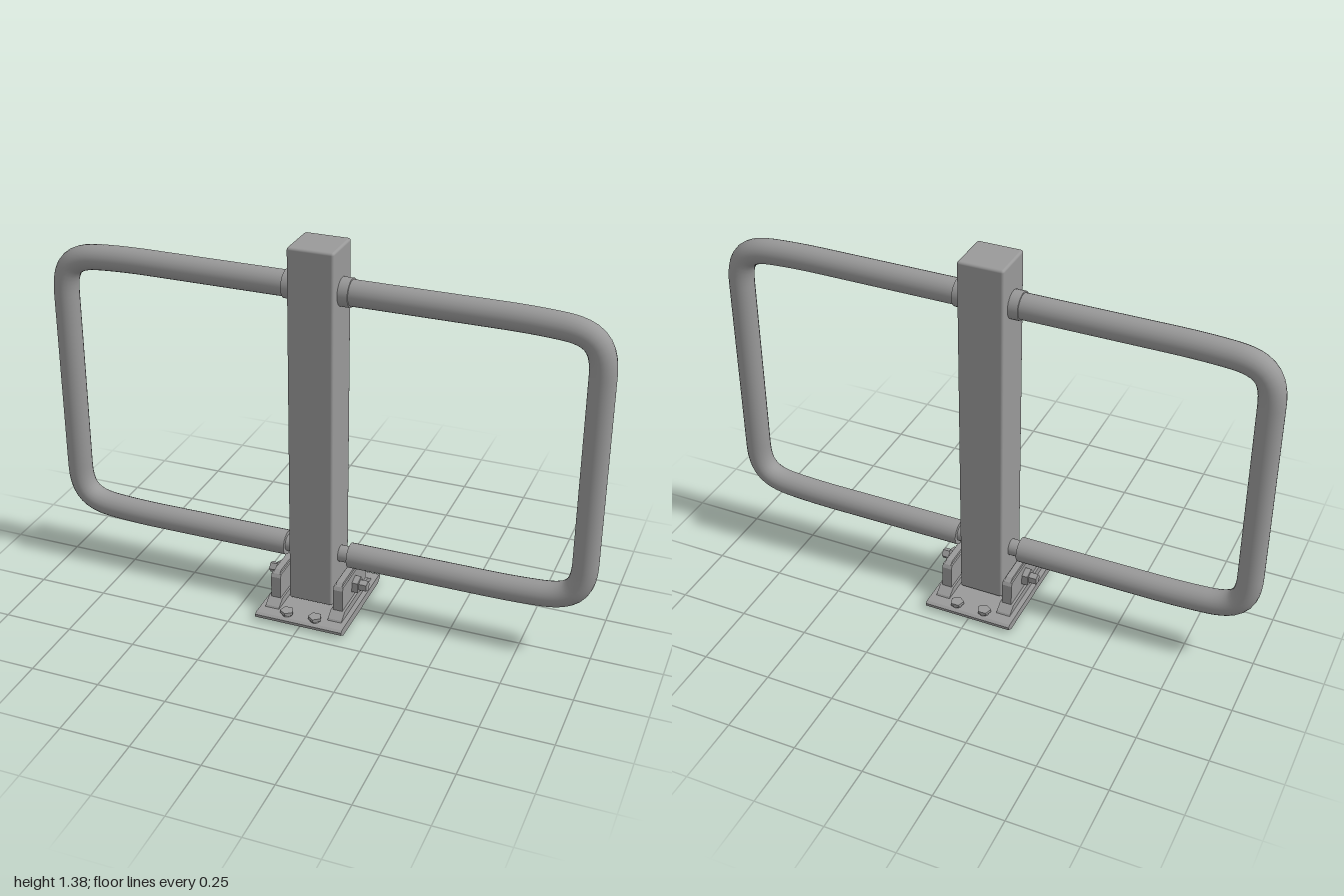
import * as THREE from 'three';
import { RoundedBoxGeometry } from 'three/addons/geometries/RoundedBoxGeometry.js';

const smooth = new THREE.MeshStandardMaterial({ color: 0x999999 });
const flat = new THREE.MeshStandardMaterial({ color: 0x999999, flatShading: true });

function add(parent, name, geometry, material, x = 0, y = 0, z = 0) {
  const mesh = new THREE.Mesh(geometry, material);
  mesh.name = name;
  mesh.position.set(x, y, z);
  parent.add(mesh);
  return mesh;
}

// Cylinder lying along x between x0 and x1
function rod(parent, name, r, x0, x1, y, sides, material = smooth) {
  const g = new THREE.CylinderGeometry(r, r, x1 - x0, sides).rotateZ(-Math.PI / 2).rotateX(Math.PI);
  return add(parent, name, g, material, (x0 + x1) / 2, y, 0);
}

// Outline drawn in (z, y), extruded along x and centred
function sideExtrude(points, width) {
  const shape = new THREE.Shape(points.map(([z, y]) => new THREE.Vector2(z, y)));
  return new THREE.ExtrudeGeometry(shape, { depth: width, bevelEnabled: false })
    .translate(0, 0, -width / 2).rotateY(-Math.PI / 2);
}

// Mirror a half outline (z > 0, bottom to top) to a closed one
const mirrored = (half) => [...half, ...half.map(([z, y]) => [-z, y]).reverse()];

// Everything on the +x side; the other side is this turned by half a circle
function createSide() {
  const side = new THREE.Group();

  // Bent tube: horizontal runs sag slightly before each rounded corner
  const path = new THREE.CurvePath();
  const v = (x, y) => new THREE.Vector3(x, y, 0);
  const yTop = 1.217, yLow = 0.217, xOut = 0.955;
  path.add(new THREE.LineCurve3(v(0.12, yTop), v(0.62, yTop)));
  path.add(new THREE.QuadraticBezierCurve3(v(0.62, yTop), v(0.73, yTop), v(0.82, 1.21)));
  path.add(new THREE.CubicBezierCurve3(v(0.82, 1.21), v(0.92, 1.202), v(xOut, 1.165), v(xOut, 1.06)));
  path.add(new THREE.LineCurve3(v(xOut, 1.06), v(xOut, 0.374)));
  path.add(new THREE.CubicBezierCurve3(v(xOut, 0.374), v(xOut, 0.269), v(0.92, 0.232), v(0.82, 0.224)));
  path.add(new THREE.QuadraticBezierCurve3(v(0.82, 0.224), v(0.73, yLow), v(0.62, yLow)));
  path.add(new THREE.LineCurve3(v(0.62, yLow), v(0.12, yLow)));
  add(side, 'bentTube', new THREE.TubeGeometry(path, 120, 0.045, 20), smooth);

  // Collar and stub joining the tube to the post
  rod(side, 'upperCollar', 0.05, 0.07, 0.117, yTop, 24);
  rod(side, 'upperTubeEnd', 0.045, 0.11, 0.125, yTop, 20);
  rod(side, 'lowerStub', 0.03, 0.07, 0.13, yLow, 20);
  rod(side, 'lowerTubeEnd', 0.045, 0.119, 0.122, yLow, 20);

  // Upright bracket plate, its narrower top edge and its flared foot
  const plate = mirrored([[0.12, 0.028], [0.12, 0.138], [0.113, 0.15]]);
  add(side, 'bracketPlate', sideExtrude(plate, 0.036), flat, 0.118);
  const rim = mirrored([[0.113, 0.15], [0.097, 0.16]]);
  add(side, 'bracketRim', sideExtrude(rim, 0.024), flat, 0.118);
  const foot = mirrored([[0.155, 0.028], [0.15, 0.036], [0.12, 0.056]]);
  add(side, 'bracketFoot', sideExtrude(foot, 0.052), flat, 0.119);

  // Pivot bolt
  rod(side, 'boltHead', 0.032, 0.134, 0.158, 0.1, 5, flat);
  rod(side, 'boltTip', 0.02, 0.158, 0.187, 0.1, 5, flat);
  return side;
}

export function createModel() {
  const model = new THREE.Group();
  model.name = 'foldingBarrier';

  // Square post
  add(model, 'post', new RoundedBoxGeometry(0.164, 1.335, 0.164, 2, 0.009), smooth, 0, 0.7075, 0);

  // Base plate with chamfered front and back edges
  const base = mirrored([[0.18, 0], [0.205, 0.014], [0.205, 0.024], [0.195, 0.03]]);
  add(model, 'basePlate', sideExtrude(base, 0.326), flat);

  // Anchor bolts in the plate
  for (const x of [-0.053, 0.053]) {
    for (const z of [-0.173, 0.173]) {
      add(model, 'anchorWasher', new THREE.CylinderGeometry(0.018, 0.018, 0.012, 10), flat, x, 0.034, z);
      add(model, 'anchorBolt', new THREE.CylinderGeometry(0.025, 0.025, 0.011, 5), flat, x, 0.043, z);
    }
  }

  // Bent tube, bracket and pivot bolt on both sides
  for (const [name, angle] of [['leftSide', 0], ['rightSide', Math.PI]]) {
    const side = createSide();
    side.name = name;
    side.rotation.y = angle;
    model.add(side);
  }
  return model;
}
